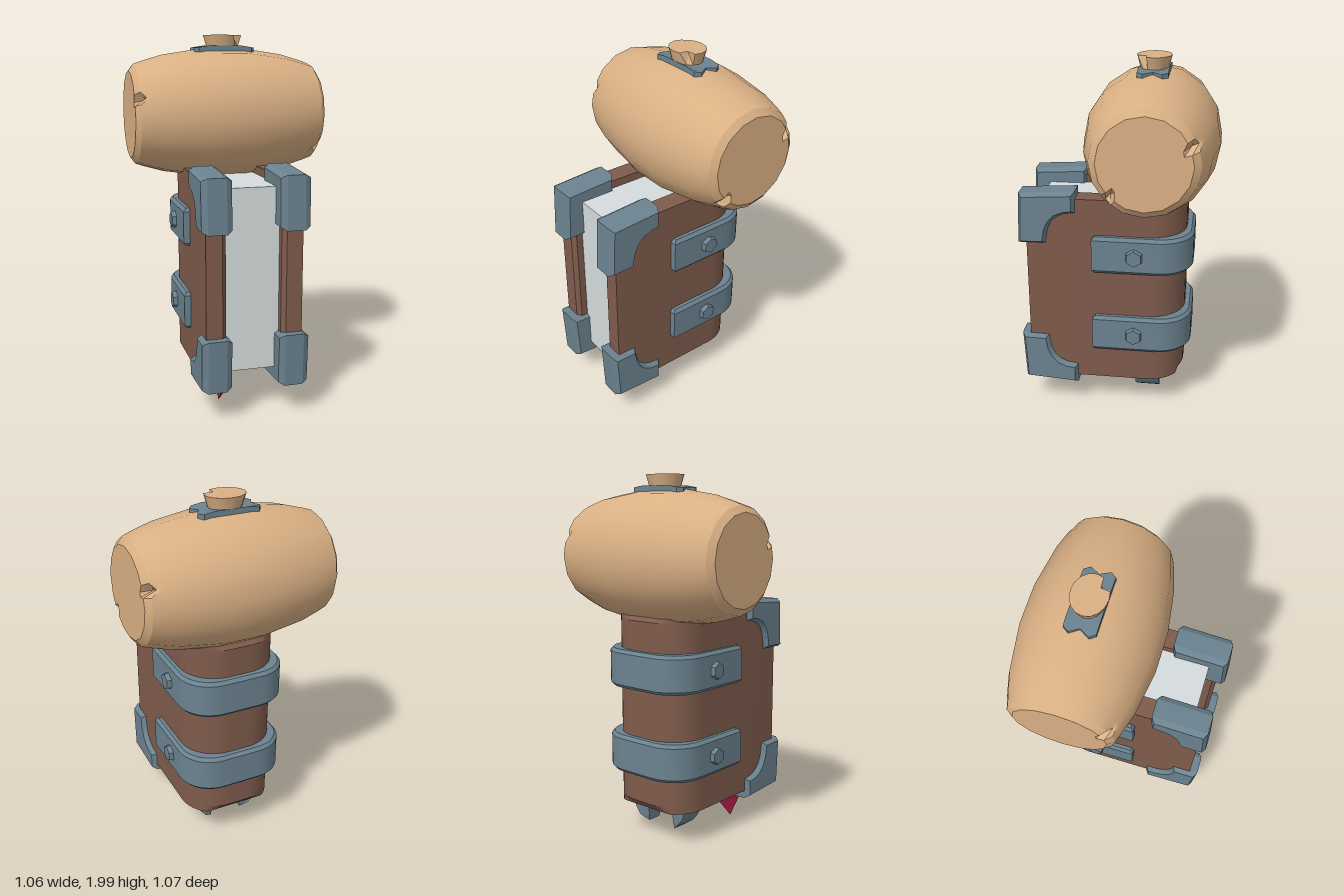
import * as THREE from 'three';
import { toCreasedNormals } from 'three/addons/utils/BufferGeometryUtils.js';

const mat = (name, color) => Object.assign(new THREE.MeshStandardMaterial({ color }), { name });

// Change each vertex of a geometry by a rule
function reshape(geo, rule) {
  const p = geo.attributes.position, v = new THREE.Vector3();
  for (let i = 0; i < p.count; i++) {
    rule(v.fromBufferAttribute(p, i));
    p.setXYZ(i, v.x, v.y, v.z);
  }
  return geo;
}

const polygon = (pts) => new THREE.Shape(pts.map(([x, y]) => new THREE.Vector2(x, y)));

function extrude(shape, depth, size = 0, thick = size, steps = 1) {
  return new THREE.ExtrudeGeometry(shape, {
    depth: depth - 2 * thick, steps, curveSegments: 5, bevelEnabled: size > 0,
    bevelSize: size, bevelThickness: thick, bevelSegments: 1,
  }).translate(0, 0, thick);
}
// Shape drawn in (x, -z), raised along y
const extrudeUp = (...a) => extrude(...a).rotateX(-Math.PI / 2);
// Shape drawn in (-z, y), extended along x
const extrudeSide = (...a) => extrude(...a).rotateY(Math.PI / 2);

// U-shaped wrap seen from above, open at the front, rounded at the spine
function wrapShape(w, back, front, t, r, chamfer) {
  const s = new THREE.Shape(), cut = r / 2;
  s.moveTo(w, -front);
  s.lineTo(w, back - r);
  s.absarc(w - r, back - r, r, 0, Math.PI / 2, false);
  s.absarc(r - w, back - r, r, Math.PI / 2, Math.PI, false);
  s.lineTo(-w, -front);
  s.lineTo(-w + t - chamfer, -front);
  s.lineTo(-w + t, -front + chamfer);
  s.lineTo(-w + t, back - t - cut);
  s.lineTo(-w + t + cut, back - t);
  s.lineTo(w - t - cut, back - t);
  s.lineTo(w - t, back - t - cut);
  s.lineTo(w - t, -front + chamfer);
  s.lineTo(w - t + chamfer, -front);
  return s;
}

// Barrel along x with chipped rims; chips are [end, angle]
function barrelGeometry() {
  const n = 48, flat = Math.PI / 8;
  const half = [[0.11, 0.36], [0.345, 0.325], [0.455, 0.293], [0.505, 0.276], [0.532, 0.24], [0.532, 0.2], [0.532, 0]];
  const profile = [...half.map(([x, r]) => [-x, r]).reverse(), ...half];
  const geo = new THREE.LatheGeometry(profile.map(([x, r]) => new THREE.Vector2(r, x)), n).rotateZ(-Math.PI / 2);
  const chips = [[1, 2.75], [1, -0.785], [-1, 0.39]];
  reshape(geo, (v) => {
    const r = Math.hypot(v.y, v.z);
    if (r < 0.22 || r > 0.285) return;
    for (const [end, angle] of chips) {
      const off = Math.abs(Math.atan2(v.y, v.z) - angle);
      if (v.x * end > 0 && off < Math.PI / n) v.x = end * 0.475;
    }
  });
  const smooth = toCreasedNormals(geo, 0.5);
  // Sixteen flat sides under the smooth shading
  return reshape(smooth, (v) => {
    const a = Math.atan2(v.y, v.z) + Math.PI * 2;
    const k = Math.cos(flat / 2) / Math.cos((a % flat) - flat / 2);
    v.y *= k;
    v.z *= k;
  });
}

export function createModel() {
  const group = new THREE.Group();
  const wood = mat('wood', 0xdab084);
  const leather = mat('brown leather', 0x7f5c4c);
  const metal = mat('blue grey metal', 0x6b828f);
  const paper = mat('paper', 0xd6dcdd);
  const crimson = mat('crimson ribbon', 0xb6214f);

  const add = (name, geo, material, x = 0, y = 0, z = 0, crease = true) => {
    const mesh = new THREE.Mesh(crease ? toCreasedNormals(geo, 0.5) : geo, material);
    mesh.name = name;
    mesh.position.set(x, y, z);
    group.add(mesh);
    return mesh;
  };

  // Cover with the spine trimmed at top and bottom, inside and out
  const cover = extrudeUp(wrapShape(0.26, 0.37, 0.49, 0.11, 0.2, 0.022), 1.08, 0, 0, 27);
  reshape(cover, (v) => {
    if (v.y > 0.01 && v.y < 1.07) return;
    if (Math.abs(v.x) < 0.16 && v.z < -0.1 && v.z > -0.29) v.z -= 0.04;
    else v.z = Math.max(v.z, -0.335);
  });
  add('cover', cover, leather, 0, 0.2, 0);

  // Page block
  add('pages', new THREE.BoxGeometry(0.31, 0.985, 0.68), paper, 0, 0.742, 0.09);

  // Bands around the spine, with hexagonal bolts
  for (const y of [0.975, 0.5]) {
    const band = extrudeUp(wrapShape(0.28, 0.395, 0.115, 0.045, 0.17, 0.005), 0.21, 0.016, 0.018);
    add('band', band, metal, 0, y - 0.105, 0);
    for (const side of [1, -1]) {
      const bolt = new THREE.CylinderGeometry(0.044, 0.058, 0.06, 6).rotateZ(-side * Math.PI / 2);
      const mesh = add('bolt', bolt, metal, side * 0.291, y, -0.1);
      mesh.rotation.x = Math.PI / 2;
    }
  }

  // Corner guards on the front edges, mirrored up and down
  for (const flip of [1, -1]) {
    const s = new THREE.Shape();
    const at = (z, y) => [-z, flip * (y - 0.74)];
    s.moveTo(...at(0.505, 1.288));
    s.lineTo(...at(0.237, 1.305));
    s.lineTo(...at(0.237, 1.22));
    s.bezierCurveTo(...at(0.33, 1.215), ...at(0.39, 1.17), ...at(0.4, 1.04));
    s.lineTo(...at(0.518, 1.037));
    for (const side of [1, -1]) {
      add('cornerGuard', extrudeSide(s, 0.16, 0.018, 0.03), metal, side * 0.208 - 0.08, 0.739, 0);
    }
  }

  // Ribbon hanging below the pages, bevelled towards the inner face
  const ribbon = extrudeSide(polygon([[-0.37, 0.28], [-0.37, 0.14], [-0.25, 0.01], [-0.13, 0.14], [-0.13, 0.28]]), 0.045);
  reshape(ribbon, (v) => {
    if (v.x > 0.02 && v.y < 0.2) {
      v.y += v.y < 0.1 ? 0.055 : 0.03;
      v.z = 0.25 + (v.z - 0.25) * 0.85;
    }
  });
  add('ribbon', ribbon, crimson, -0.135, 0, 0);

  // Claws under the spine
  for (const side of [1, -1]) {
    const outline = [[0.08, 0.27], [0.095, 0.06], [0.14, 0.092], [0.172, 0.132], [0.193, 0.18], [0.203, 0.27]];
    const claw = extrude(polygon(outline.map(([x, y]) => [side * x, y])), 0.14);
    reshape(claw, (v) => {
      if (v.y < 0.08) v.z = 0.07 + (v.z - 0.07) * 0.6;
    });
    add('claw', claw, metal, 0, 0, -0.24);
  }

  // Barrel head
  add('barrel', barrelGeometry(), wood, 0, 1.568, -0.172, false);

  // Notched metal plate bent over the barrel top
  const ends = [[0.09, -0.08], [0.15, -0.08], [0.172, -0.05], [0.145, 0], [0.172, 0.05], [0.15, 0.08], [0.09, 0.08]];
  const outline = [...ends, ...ends.map(([x, z]) => [-x, -z])];
  const plate = extrudeUp(polygon(outline), 0.045);
  reshape(plate, (v) => {
    v.y -= 0.15 * Math.max(0, Math.abs(v.x) - 0.09);
  });
  add('topPlate', plate, metal, 0, 1.897, -0.172);

  // Tapered wooden peg with a split in its upper rim
  const rim = [];
  for (let i = 0; i < 16; i++) {
    const a = (i / 16) * Math.PI * 2, k = i === 14 ? 0.6 : 1;
    rim.push([0.11 * k * Math.cos(a), 0.092 * k * Math.sin(a)]);
  }
  const peg = extrudeUp(polygon(rim), 0.065);
  reshape(peg, (v) => {
    if (v.y < 0.03) {
      const k = 0.82 / Math.hypot(v.x / 0.11, v.z / 0.092);
      v.x *= k;
      v.z *= k;
    }
  });
  add('peg', peg, wood, 0, 1.935, -0.17);

  return group;
}
